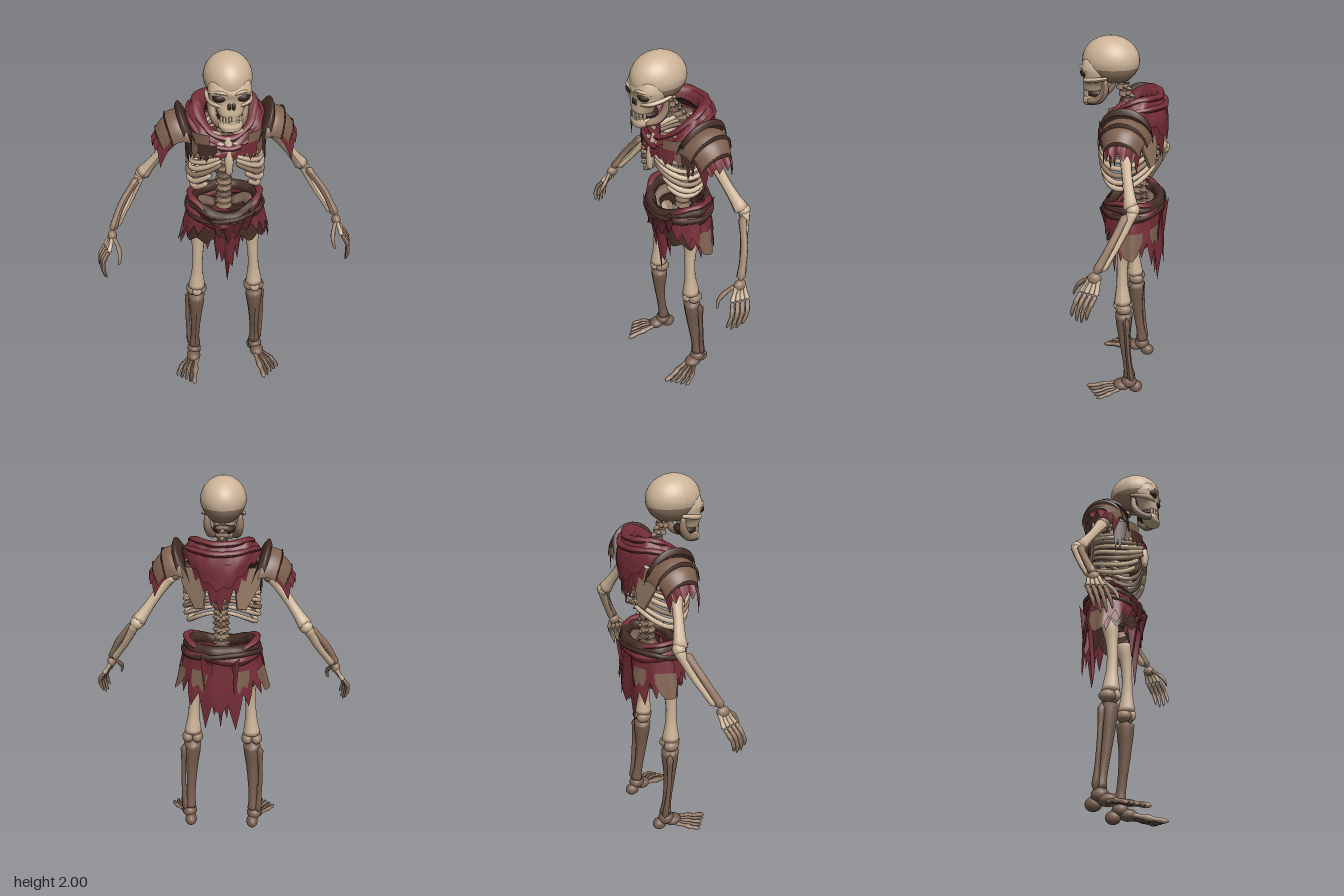
import * as THREE from 'three';

const { sin, cos, PI, max, abs, pow, sign, floor, min } = Math;
const mat = (name, color) => Object.assign(new THREE.MeshStandardMaterial({ color, side: THREE.DoubleSide }), { name });
const V = (p) => new THREE.Vector3(...p);
// samples a list of numbers at u in 0..1
const at = (list, u) => {
  const f = min(max(u, 0), 1) * (list.length - 1), i = min(floor(f), list.length - 2);
  return list[i] + (list[i + 1] - list[i]) * (f - i);
};

export function createModel() {
  const root = new THREE.Group();
  root.name = 'skeleton';
  const bone = mat('pale bone', 0xcdb498), worn = mat('worn bone', 0x977c67), old = mat('old bone', 0x775e4f);
  const leather = mat('leather', 0x7e6150), hide = mat('dark leather', 0x452d25);
  const cloth = mat('red cloth', 0x742d37), shade = mat('dark red cloth', 0x5f2730), hollow = mat('hollow', 0x38261f);

  const add = (name, geo, m, pos = [0, 0, 0]) => {
    const mesh = new THREE.Mesh(geo, m);
    mesh.name = name;
    mesh.position.set(...pos);
    root.add(mesh);
    return mesh;
  };
  // open sheet from a rule f(u, v) -> [x, y, z]
  const sheet = (name, m, f, nu = 48, nv = 8) => {
    const pos = [], idx = [];
    for (let i = 0; i <= nu; i++) for (let j = 0; j <= nv; j++) pos.push(...f(i / nu, j / nv));
    for (let i = 0; i < nu; i++) for (let j = 0; j < nv; j++) {
      const a = i * (nv + 1) + j, b = a + nv + 1;
      idx.push(a, b, a + 1, b, b + 1, a + 1);
    }
    const g = new THREE.BufferGeometry();
    g.setAttribute('position', new THREE.Float32BufferAttribute(pos, 3));
    g.setIndex(idx);
    g.computeVertexNormals();
    return add(name, g, m);
  };
  // tube of varying radius with closed ends, for bones
  const taper = (name, m, pts, radii, n = 14, seg = 9) => {
    const curve = new THREE.CatmullRomCurve3(pts.map(V));
    const g = new THREE.TubeGeometry(curve, n, 1, seg), p = g.attributes.position, v = new THREE.Vector3();
    for (let i = 0; i <= n; i++) {
      const c = curve.getPointAt(i / n), r = i % n ? at(radii, i / n) : 0.001;
      for (let j = 0; j <= seg; j++) {
        const k = i * (seg + 1) + j;
        v.fromBufferAttribute(p, k).sub(c).multiplyScalar(r).add(c);
        p.setXYZ(k, v.x, v.y, v.z);
      }
    }
    g.computeVertexNormals();
    return add(name, g, m);
  };
  const ball = (name, m, pos, size) => add(name, new THREE.SphereGeometry(1, 14, 10), m, pos).scale.set(...size);
  // closed solid from rows of [y, half width, front z, back z]
  const loft = (name, m, rows) => sheet(name, m, (u, v) => {
    const r = (k) => at(rows.map((q) => q[k]), v), a = u * 2 * PI, e = 0.8;
    const end = v === 0 || v === 1 ? 0.01 : 1, mid = (r(2) + r(3)) / 2;
    const sx = sign(sin(a)) * pow(abs(sin(a)), e), sz = sign(cos(a)) * pow(abs(cos(a)), e);
    return [r(1) * sx * end, r(0), mid + (r(2) - r(3)) / 2 * sz * end];
  }, 28, 18);
  // closed loop of rope or cloth around the body
  const loop = (name, m, rx, rz, cz, y, r, h) => sheet(name, m, (u, v) => {
    const t = u * 2 * PI, a = v * 2 * PI, k = r * (1 + 0.15 * sin(9 * t));
    return [(rx + k * cos(a)) * sin(t), y(t) + h * sin(a), cz + (rz + k * cos(a)) * cos(t)];
  }, 64, 10);

  // cranium, pale above and worn below
  const cranium = (name, m, start, len) => {
    const g = new THREE.SphereGeometry(1, 36, 16, 0, 2 * PI, start, len), p = g.attributes.position;
    for (let i = 0; i < p.count; i++) {
      const y = max(p.getY(i), -0.85), z = p.getZ(i);
      p.setXYZ(i, p.getX(i) * 0.117 * (1 + 0.12 * min(y, 0) - 0.04 * max(z, 0)), 1.88 + y * 0.12, 0.07 + z * 0.143);
    }
    g.computeVertexNormals();
    add(name, g, m);
  };
  cranium('cranium', bone, 0, 1.8);
  cranium('skull base', worn, 1.8, PI - 1.8);
  loft('face', bone, [[1.91, 0.085, 0.19, 0.08], [1.87, 0.1, 0.208, 0.07], [1.845, 0.104, 0.216, 0.06], [1.82, 0.1, 0.206, 0.06], [1.795, 0.095, 0.203, 0.08],
    [1.77, 0.072, 0.206, 0.1], [1.735, 0.056, 0.21, 0.11], [1.728, 0.05, 0.2, 0.11]]);
  loft('jaw', bone, [[1.708, 0.052, 0.2, 0.11], [1.7, 0.06, 0.207, 0.11], [1.68, 0.06, 0.213, 0.12], [1.66, 0.046, 0.212, 0.14], [1.653, 0.03, 0.2, 0.16]]);
  ball('mouth hollow', hollow, [0, 1.718, 0.14], [0.062, 0.03, 0.058]);
  for (let i = -3.5; i <= 3.5; i++) {
    const x = i * 0.013, z = 0.206 - x * x * 12;
    add('upper tooth', new THREE.BoxGeometry(0.012, 0.022, 0.012), bone, [x, 1.726, z]);
    add('lower tooth', new THREE.BoxGeometry(0.012, 0.018, 0.012), bone, [x, 1.705, z]);
  }
  for (const s of [-1, 1]) {
    ball('eye socket', hollow, [s * 0.052, 1.826, 0.182], [0.036, 0.024, 0.031]);
    ball('nose hollow', hollow, [s * 0.01, 1.783, 0.196], [0.011, 0.021, 0.015]);
    taper('brow ridge', bone, [[s * 0.008, 1.842, 0.208], [s * 0.05, 1.855, 0.207], [s * 0.097, 1.84, 0.16]], [0.006, 0.01, 0.01]);
    taper('cheekbone', bone, [[s * 0.104, 1.815, 0.06], [s * 0.101, 1.803, 0.12], [s * 0.08, 1.793, 0.175], [s * 0.035, 1.785, 0.196]], [0.008, 0.012, 0.014, 0.01]);
    taper('jaw branch', worn, [[s * 0.086, 1.81, 0.08], [s * 0.082, 1.74, 0.085], [s * 0.07, 1.695, 0.12], [s * 0.04, 1.68, 0.185]], [0.012, 0.021, 0.021, 0.018]);
  }

  // spine
  const spinePath = [[0, 1.79, 0.03], [0, 1.7, -0.01], [0, 1.58, -0.1], [0, 1.44, -0.13], [0, 1.28, -0.08], [0, 1.1, -0.08]];
  const spine = new THREE.CatmullRomCurve3(spinePath.map(V));
  for (let i = 0; i < 21; i++) {
    const p = spine.getPointAt(i / 20), r = 0.023 + 0.015 * i / 20, m = i % 3 ? worn : old;
    add('vertebra', new THREE.CylinderGeometry(r, r * 1.2, 0.024, 12), m, p.toArray());
    taper('vertebra back spur', m, [[0, p.y, p.z], [0, p.y - 0.02, p.z - 0.055]], [0.014, 0.008], 5, 6);
    taper('vertebra side spurs', m, [[-r - 0.012, p.y, p.z - 0.02], [r + 0.012, p.y, p.z - 0.02]], [0.009, 0.014, 0.009], 8, 6);
  }
  taper('spine core', old, spinePath, [0.018, 0.026], 24);

  // ribs, breastbone, shoulder blades and collarbones
  const size = [0.62, 0.8, 0.92, 1, 1.03, 1.04, 1.02, 0.94];
  taper('breastbone', bone, [[0, 1.58, 0.075], [0, 1.5, 0.115], [0, 1.38, 0.125]], [0.03, 0.02, 0.024, 0.016]);
  for (const s of [-1, 1]) {
    size.forEach((k, i) => {
      const pts = [], reach = i < 6 ? 1 : 0.9 - (i - 6) * 0.06;
      for (let j = 0; j <= 8; j++) {
        const w = j / 8 * reach, a = PI * (0.95 - 0.9 * w);
        pts.push([s * 0.187 * k * sin(a), 1.6 - 0.033 * i + w * (0.013 * i - 0.05) - (0.03 + 0.013 * i) * sin(PI * pow(w, 1.3)), -0.025 + (0.145 - 0.02 * (1 - k)) * cos(a)]);
      }
      taper('rib', i % 3 === 2 ? worn : bone, pts, [0.01, 0.012, 0.013, 0.015, 0.013], 24, 7);
    });
    taper('collarbone', worn, [[s * 0.02, 1.58, 0.08], [s * 0.1, 1.6, 0.06], [s * 0.23, 1.59, -0.04]], [0.016, 0.011, 0.016]);
    const blade = new THREE.Shape([[0, 0.09], [0.14, 0.08], [0.13, 0], [0.06, -0.12], [0.02, -0.11]].map((p) => new THREE.Vector2(p[0] * s, p[1])));
    add('shoulder blade', new THREE.ExtrudeGeometry(blade, { depth: 0.008, bevelSize: 0.006, bevelThickness: 0.005, bevelSegments: 2 }), worn, [s * 0.07, 1.505, -0.182]).rotation.y = -s * 0.4;

    // arm
    ball('shoulder joint', worn, [s * 0.245, 1.535, -0.055], [0.042, 0.042, 0.042]);
    taper('upper arm', bone, [[s * 0.245, 1.54, -0.055], [s * 0.335, 1.42, -0.085], [s * 0.44, 1.275, -0.13]], [0.042, 0.03, 0.026, 0.026, 0.031, 0.043]);
    ball('elbow', bone, [s * 0.432, 1.288, -0.135], [0.035, 0.035, 0.033]);
    taper('ulna', bone, [[s * 0.43, 1.3, -0.145], [s * 0.51, 1.15, -0.085], [s * 0.595, 1.025, -0.018]], [0.03, 0.023, 0.019, 0.017, 0.02]);
    taper('radius', worn, [[s * 0.455, 1.275, -0.11], [s * 0.55, 1.15, -0.055], [s * 0.612, 1.02, 0.008]], [0.023, 0.018, 0.019, 0.019, 0.024]);
    // hand
    ball('wrist', worn, [s * 0.612, 1.0, 0.01], [0.024, 0.03, 0.034]);
    for (let i = 0; i < 4; i++) {
      const z = 0.07 - 0.026 * i, x = 0.635 + 0.007 * i, long = i === 1 || i === 2 ? 0.02 : 0;
      taper('palm bone', bone, [[s * 0.612, 1.0, 0.03 - 0.014 * i], [s * x, 0.93, z]], [0.013, 0.01, 0.014]);
      taper('finger', worn, [[s * x, 0.935, z], [s * (x + 0.03), 0.885, z + 0.022], [s * (x + 0.032), 0.84 - long / 2, z + 0.038], [s * (x + 0.02), 0.8 - long, z + 0.045]],
        [0.013, 0.01, 0.013, 0.009, 0.011, 0.008, 0.005], 14, 7);
    }
    taper('thumb', worn, [[s * 0.605, 1.0, 0.03], [s * 0.583, 0.96, 0.075], [s * 0.577, 0.92, 0.11], [s * 0.588, 0.88, 0.125]], [0.013, 0.01, 0.013, 0.009, 0.006], 14, 7);

    // hip and leg
    taper('hip wing', old, [[s * 0.04, 1.07, -0.13], [s * 0.13, 1.11, -0.1], [s * 0.15, 1.08, 0], [s * 0.11, 1.02, 0.02], [s * 0.02, 1.0, 0.04]], [0.03, 0.035, 0.03, 0.035, 0.025], 18);
    taper('femur neck', worn, [[s * 0.09, 1.03, -0.04], [s * 0.15, 0.98, -0.04]], [0.04, 0.035, 0.04]);
    taper('thigh bone', bone, [[s * 0.145, 1.0, -0.04], [s * 0.155, 0.82, -0.02], [s * 0.167, 0.57, -0.025]], [0.048, 0.045, 0.034, 0.03, 0.029, 0.032, 0.042, 0.052], 20, 12);
    for (const d of [-1, 1]) ball('knee knuckle', worn, [s * (0.167 + d * 0.026), 0.565, -0.035], [0.033, 0.033, 0.044]);
    ball('kneecap', bone, [s * 0.167, 0.575, 0.01], [0.028, 0.03, 0.016]);
    taper('shin bone', old, [[s * 0.168, 0.545, -0.03], [s * 0.175, 0.35, -0.037], [s * 0.186, 0.085, -0.07]], [0.05, 0.046, 0.036, 0.03, 0.026, 0.026, 0.038], 20, 11);
    taper('calf bone', old, [[s * 0.215, 0.525, -0.055], [s * 0.222, 0.3, -0.065], [s * 0.212, 0.085, -0.085]], [0.022, 0.014, 0.013, 0.014, 0.022]);
    // foot
    ball('ankle', old, [s * 0.19, 0.075, -0.065], [0.042, 0.038, 0.045]);
    ball('heel', old, [s * 0.18, 0.037, -0.1], [0.034, 0.036, 0.042]);
    ball('instep', old, [s * 0.197, 0.05, -0.025], [0.042, 0.032, 0.05]);
    for (let i = 0; i < 5; i++) {
      taper('toe', i % 2 ? old : worn, [[s * (0.178 + 0.012 * i), 0.052 - 0.004 * i, -0.02], [s * (0.194 + 0.019 * i), 0.032, 0.075 - 0.012 * i], [s * (0.205 + 0.023 * i), 0.02, 0.135 - 0.016 * i], [s * (0.21 + 0.024 * i), 0.011, 0.185 - 0.021 * i]],
        [0.016, 0.011, 0.011, 0.016, 0.01, 0.013, 0.008].map((r) => r * (i ? 0.9 : 1.15)), 16, 7);
    }

    // shoulder armour: arched plates from inner to outer edge [x, top y, half depth]
    const arch = (name, m, a, b, sag, hem = [0, 0]) => sheet(name, m, (u, v) => {
      const t = (u - 0.5) * 2.9, [x, top, half] = a.map((q, i) => q + (b[i] - q) * v);
      return [s * (x - 0.04 * (1 - cos(t))), top - sag * (1 - cos(t)) - at(hem, u) * v + 0.014 * sin(PI * v), -0.05 + half * sin(t)];
    }, 28, 6);
    arch('collar flange', hide, [0.185, 1.62, 0.125], [0.23, 1.71, 0.125], 0.12);
    arch('collar flange edge', hide, [0.23, 1.71, 0.125], [0.25, 1.685, 0.13], 0.12);
    arch('upper shoulder plate', leather, [0.215, 1.66, 0.13], [0.302, 1.652, 0.118], 0.13);
    arch('upper plate trim', hide, [0.3, 1.654, 0.119], [0.306, 1.643, 0.119], 0.13);
    arch('lower shoulder plate', leather, [0.285, 1.64, 0.115], [0.352, 1.578, 0.085], 0.09);
    arch('lower plate trim', hide, [0.35, 1.58, 0.086], [0.354, 1.57, 0.086], 0.09);
    arch('sleeve rag', cloth, [0.3, 1.595, 0.1], [0.372, 1.545, 0.08], 0.065, [0.06, 0, 0.04, 0, 0.045, 0.005, 0.05, 0, 0.04, 0, 0.09]);
    // chest scraps
    const scrap = (name, m, t0, t1, top, hem, k) => sheet(name, m, (u, v) => {
      const t = t0 + (t1 - t0) * u;
      return [s * 0.198 * k * sin(t), top + (at(hem, u) - top) * v, -0.025 + 0.155 * k * cos(t)];
    }, 24, 4);
    scrap('chest leather', leather, 0.5, 1.3, 1.6, [1.54, 1.49, 1.51, 1.46, 1.49, 1.44], 1);
    scrap('chest rag', s > 0 ? cloth : hide, 0.3, 0.85, 1.55, [1.52, 1.48, 1.5, 1.45, 1.49, 1.46, 1.53], 1.02);
    scrap('hanging rag', hide, 1, 1.45, 1.58, [1.53, 1.45, 1.48, 1.38, 1.46, 1.4, 1.5], 1.05);
  }

  // cowl, low in front, draped behind
  const fold = new THREE.CatmullRomCurve3([[0.1, 0.085, -0.05], [0.115, 0.1, -0.012], [0.142, 0.125, 0.005], [0.176, 0.155, -0.025], [0.196, 0.175, -0.07], [0.195, 0.176, -0.1]].map(V));
  const crest = (t) => 1.71 - 0.075 * cos(t) - 0.06 * pow(cos(t), 2);
  sheet('cowl', cloth, (u, v) => {
    const t = u * 2 * PI, c = cos(t), p = fold.getPoint(v), k = 1 + 0.035 * sin(7 * t + 9 * v) * sin(PI * v);
    const drop = pow(v, 3) * (0.12 * pow(max(0, -c), 4) + 0.012 * sin(17 * t));
    return [p.x * k * sin(t), crest(t) + p.z - drop, -0.045 + p.y * k * c];
  }, 96, 20);
  loop('cowl fold', cloth, 0.148, 0.134, -0.045, (t) => crest(t) - 0.008, 0.02, 0.016);
  loop('cowl lower fold', cloth, 0.18, 0.16, -0.045, (t) => crest(t) - 0.05, 0.017, 0.015);
  sheet('cowl lining', hide, (u, v) => {
    const t = u * 2 * PI;
    return [(0.1 + 0.08 * v) * sin(t), crest(t) - 0.045 - 0.075 * v, -0.045 + (0.083 + 0.07 * v) * cos(t)];
  });
  sheet('back rag', cloth, (u, v) => {
    const t = PI + (u - 0.5) * 1.5, hem = at([1.57, 1.53, 1.55, 1.48, 1.49, 1.41, 1.44, 1.37, 1.45, 1.42, 1.5, 1.47, 1.55, 1.53, 1.57], u);
    return [0.205 * sin(t), 1.63 + (hem - 1.63) * v, -0.04 + (0.172 - 0.015 * v) * cos(t)];
  }, 56, 6);

  // belt and ragged skirt
  const waist = (t) => 1.155 - 0.05 * pow(max(0, cos(t)), 4);
  loop('belt', hide, 0.177, 0.138, -0.05, waist, 0.026, 0.034);
  loop('waist wrap', cloth, 0.188, 0.143, -0.05, (t) => waist(t) - 0.035 + 0.012 * sin(3 * t), 0.026, 0.03);
  loop('waist roll', cloth, 0.187, 0.14, -0.05, (t) => waist(t) + 0.018 - 0.02 * cos(2 * t), 0.018, 0.014);
  loop('belt strap', hide, 0.209, 0.163, -0.05, (t) => 1.12 - 0.02 * cos(t) + 0.012 * sin(2 * t), 0.009, 0.015);
  const skirt = (name, m, t0, t1, top, hem, k) => sheet(name, m, (u, v) => {
    const t = t0 + (t1 - t0) * u, y = top + (at(hem, u) - top) * v, f = min((1.15 - y) / 0.25, 1);
    const w = k * (1 + 0.03 * f * sin(11 * t));
    return [w * (0.192 + 0.055 * f) * sin(t), y, -0.05 + w * (0.145 + 0.015 * f) * cos(t)];
  }, 80, 10);
  skirt('skirt lining', hide, 0, 2 * PI, 1.15, [0.97, 1, 0.94, 0.97, 0.93, 1, 0.95, 1, 0.94, 0.99, 0.9, 0.96, 0.9, 0.99, 0.94, 1, 0.95, 1, 0.93, 0.97, 0.94, 1, 0.97], 0.94);
  for (const s of [-1, 1]) {
    skirt('skirt', cloth, s * 0.45, s * PI, 1.13, [1.02, 1.05, 0.99, 1.04, 0.95, 0.98, 0.89, 1.01, 0.92, 1, 0.9, 0.98, 0.84, 0.92, 0.71, 0.86, 0.8], 1);
    skirt('side leather', leather, s * 1.4, s * 2.15, 1.04, [0.98, 0.91, 0.9, 0.9, 0.93, 0.99], 1.03);
    skirt('back leather', leather, s * 2.4, s * 2.85, 1.05, [1.01, 0.95, 0.97, 0.93, 1.02], 1.03);
    skirt('hip rag', cloth, s * 0.6, s * 1.5, 1.13, [1.06, 1, 1.05, 0.97, 1.03, 0.96, 1.06], 1.05);
  }
  // front and back tails
  const tail = (name, m, w, top, hem, z0, z1) => sheet(name, m, (u, v) => {
    const x = (u - 0.5) * 2, y0 = top + 0.06 * x * x;
    return [x * w * (1 - 0.15 * v), y0 + (at(hem, u) - y0) * v, z0 + (z1 - z0) * v - 0.03 * x * x + 0.008 * sin(x * 9)];
  }, 56, 8);
  tail('front tail', cloth, 0.12, 1.1, [0.99, 0.93, 0.96, 0.81, 0.88, 0.8, 0.83, 0.67, 0.8, 0.77, 0.88, 0.81, 0.95, 0.92, 0.99], 0.11, 0.06);
  tail('front apron', shade, 0.15, 1.09, [1.08, 1.03, 1.05, 0.99, 1.03, 0.95, 1.03, 0.98, 1.05, 1.02, 1.08], 0.122, 0.1);
  tail('back tail', cloth, 0.1, 1.08, [0.95, 0.84, 0.9, 0.76, 0.84, 0.7, 0.83, 0.78, 0.9, 0.82, 0.95], -0.19, -0.17);
  return root;
}
